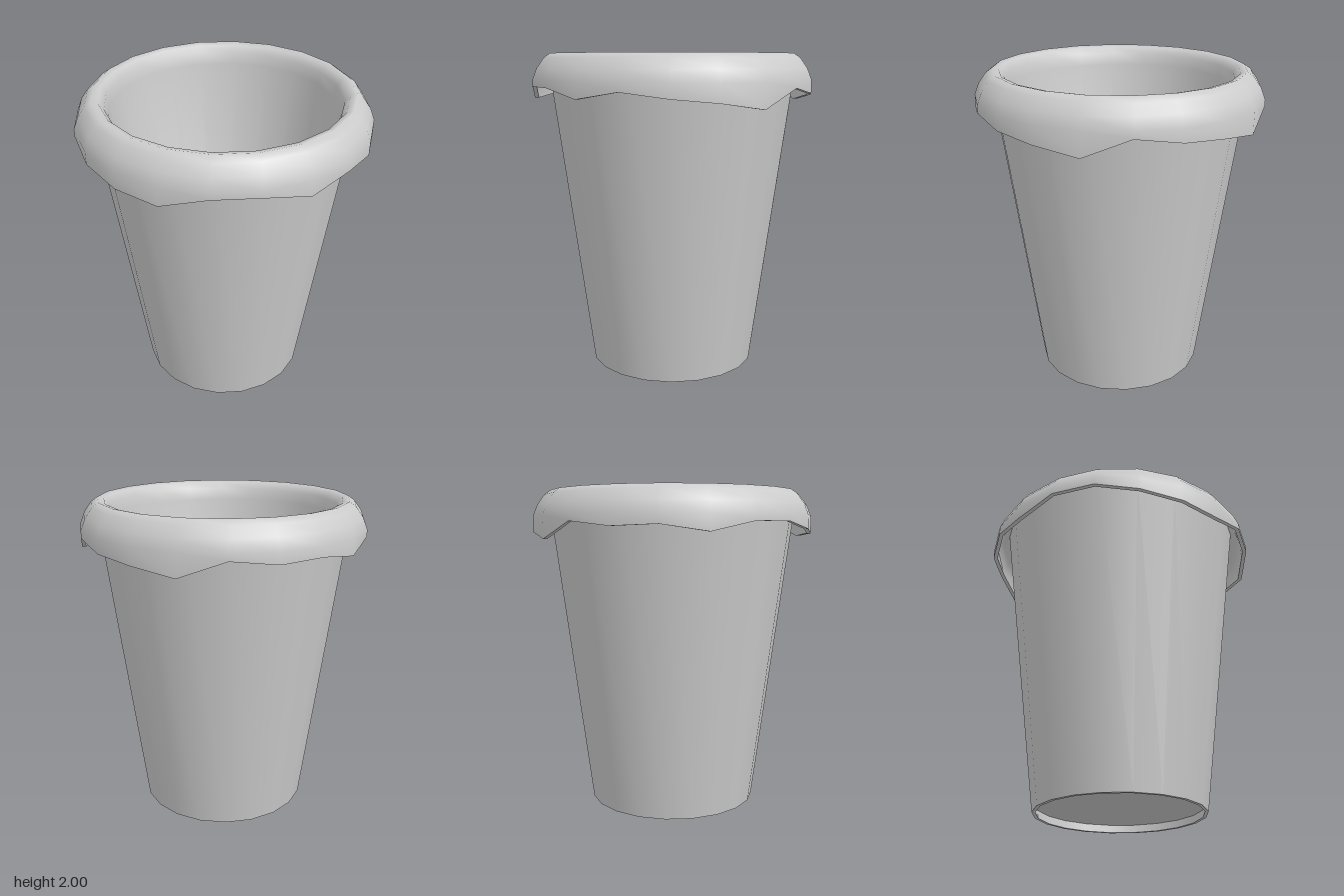
import * as THREE from 'three';

const SIDES = 20;
const material = new THREE.MeshStandardMaterial({ color: 0xcccccc });

// Height of the loose liner hem at each corner, counted from +x towards +z
const HEM = [
  1.79, 1.745, 1.8, 1.8, 1.72, 1.735, 1.76, 1.8, 1.8, 1.74,
  1.78, 1.77, 1.8, 1.7, 1.74, 1.76, 1.8, 1.69, 1.73, 1.755,
];

// Lathe a profile; points marked 'hem' take their height from the hem table
function lathe(name, profile) {
  const points = profile.map(([r, y]) => new THREE.Vector2(r, y === 'hem' ? 1.76 : y));
  const geometry = new THREE.LatheGeometry(points, SIDES);
  const position = geometry.attributes.position;
  for (let i = 0; i <= SIDES; i++) {
    profile.forEach(([, y], j) => {
      if (y === 'hem') position.setY(i * profile.length + j, HEM[(25 - i) % SIDES]);
    });
  }
  const mesh = new THREE.Mesh(geometry, material);
  mesh.name = name;
  return mesh;
}

export function createModel() {
  const model = new THREE.Group();
  model.name = 'wasteBin';

  // Tapered bin, in separate strips so its rims stay sharp
  const bin = new THREE.Group();
  bin.name = 'bin';
  bin.add(
    lathe('binOuterWall', [[0.535, 0], [0.79, 1.95]]),
    lathe('binTopRim', [[0.79, 1.95], [0.765, 1.95]]),
    lathe('binInnerWall', [[0.765, 1.95], [0.52, 0.08]]),
    lathe('binFloor', [[0.52, 0.08], [0, 0.08]]),
    lathe('binUnderside', [[0, 0.05], [0.52, 0.05]]),
    lathe('binFootInside', [[0.52, 0.05], [0.513, 0]]),
    lathe('binFootRim', [[0.513, 0], [0.535, 0]]),
  );

  // Liner bag folded over the rim, with an uneven hem
  const liner = new THREE.Group();
  liner.name = 'liner';
  liner.add(
    lathe('linerSheet', [
      [0.888, 'hem'], [0.888, 1.84], [0.86, 1.91], [0.815, 1.972], [0.775, 2],
      [0.735, 1.99], [0.705, 1.95], [0.69, 1.88], [0.4, 0.12], [0, 0.12],
    ]),
    lathe('linerHemEdge', [[0.862, 'hem'], [0.888, 'hem']]),
    lathe('linerFoldInside', [[0.78, 1.965], [0.835, 1.9], [0.862, 1.83], [0.862, 'hem']]),
  );

  model.add(bin, liner);
  return model;
}
